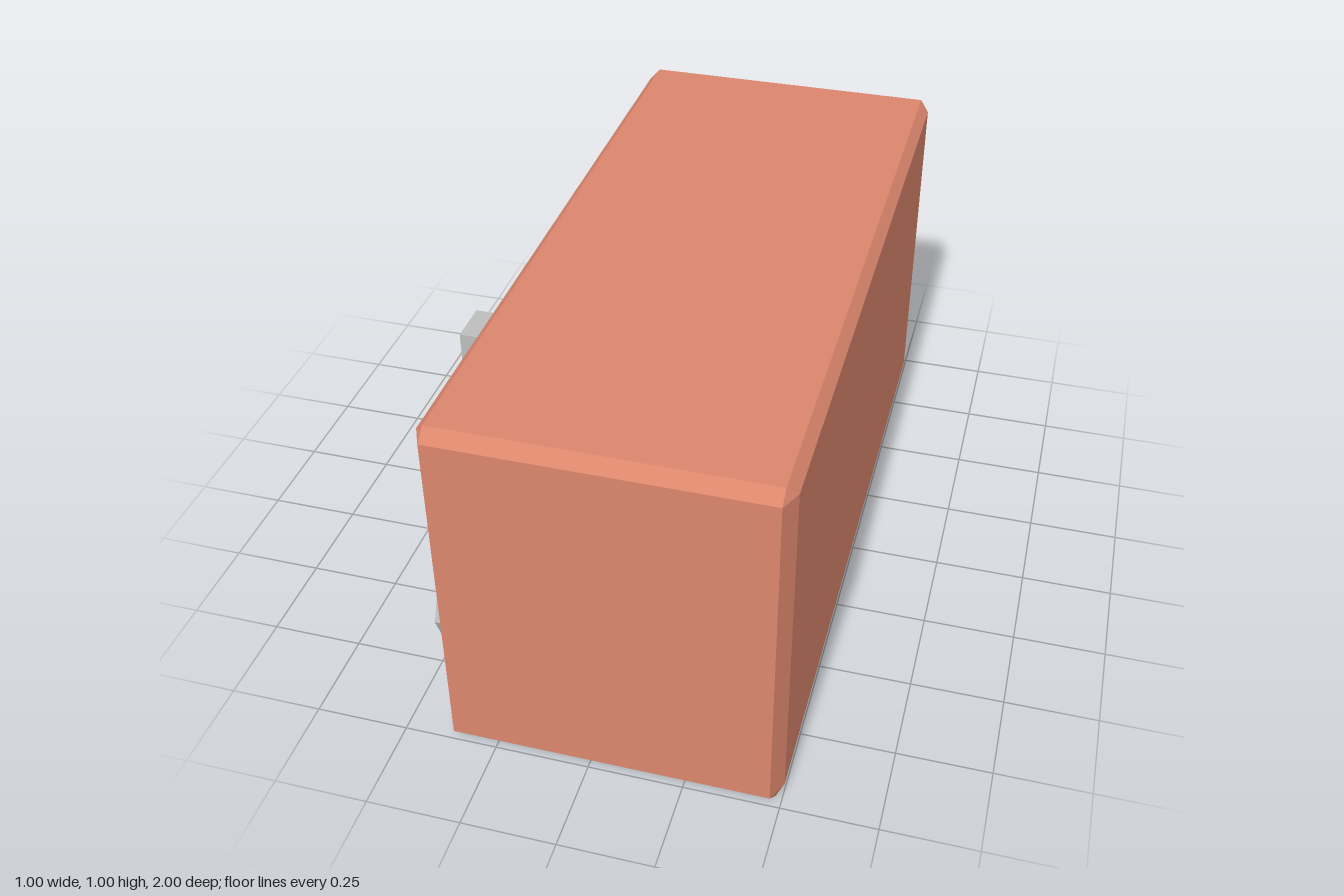
import * as THREE from 'three';
import { ConvexGeometry } from 'three/addons/geometries/ConvexGeometry.js';

const paint = (name, color) => Object.assign(new THREE.MeshStandardMaterial({ color }), { name });

export function createModel() {
  const bodyPaint = paint('terracotta body', 0xdb866d);
  const glass = paint('blue door panel', 0x7ea3b2);
  const metal = paint('grey metal', 0xbdbdbd);

  const model = new THREE.Group();
  model.name = 'microwaveOven';
  const add = (parent, name, geometry, material, x = 0, y = 0, z = 0) => {
    const mesh = new THREE.Mesh(geometry, material);
    mesh.name = name;
    mesh.position.set(x, y, z);
    parent.add(mesh);
    return mesh;
  };
  const hull = (points) => new ConvexGeometry(points.map((p) => new THREE.Vector3(...p)));

  // Body: a box whose six faces are inset, joined by narrow bevels
  const hx = 0.445, hy = 0.5, hz = 1;
  const bx = 0.026, by = 0.028;
  const corners = [];
  for (const sx of [-1, 1]) for (const sy of [-1, 1]) for (const sz of [-1, 1]) {
    corners.push(
      [sx * hx, sy * (hy - by), sz * (hz - 0.055)],
      [sx * (hx - (sy < 0 ? 0.018 : bx)), sy * hy, sz * (hz - 0.035)],
      [sx * (hx - bx), sy * (hy - by), sz * hz],
    );
  }
  add(model, 'body', hull(corners), bodyPaint, 0.055, 0.5, 0);

  // Door panel: thin plate on the -x side
  add(model, 'doorPanel', new THREE.BoxGeometry(0.006, 0.84, 1.48), glass, -0.39, 0.5, -0.203);

  // Handle: upright bar on two tapered brackets
  const handle = new THREE.Group();
  handle.name = 'handle';
  handle.position.set(-0.39, 0.506, 0.37);
  model.add(handle);
  add(handle, 'handleBar', new THREE.BoxGeometry(0.048, 0.728, 0.118), metal, -0.086, 0, 0);
  for (const s of [1, -1]) {
    const points = [];
    for (const [x, inner, halfWidth] of [[-0.062, 0.27, 0.059], [0.002, 0.294, 0.05]])
      for (const y of [inner, 0.364])
        for (const side of [-1, 1]) points.push([x, s * y, side * halfWidth]);
    add(handle, s > 0 ? 'upperBracket' : 'lowerBracket', hull(points), metal);
  }

  // Knob: flat-sided octagonal dial facing -x
  const dial = new THREE.CylinderGeometry(0.117, 0.113, 0.05, 8).toNonIndexed();
  dial.computeVertexNormals();
  dial.rotateZ(Math.PI / 2);
  add(model, 'knob', dial, metal, -0.412, 0.292, 0.77);

  return model;
}
